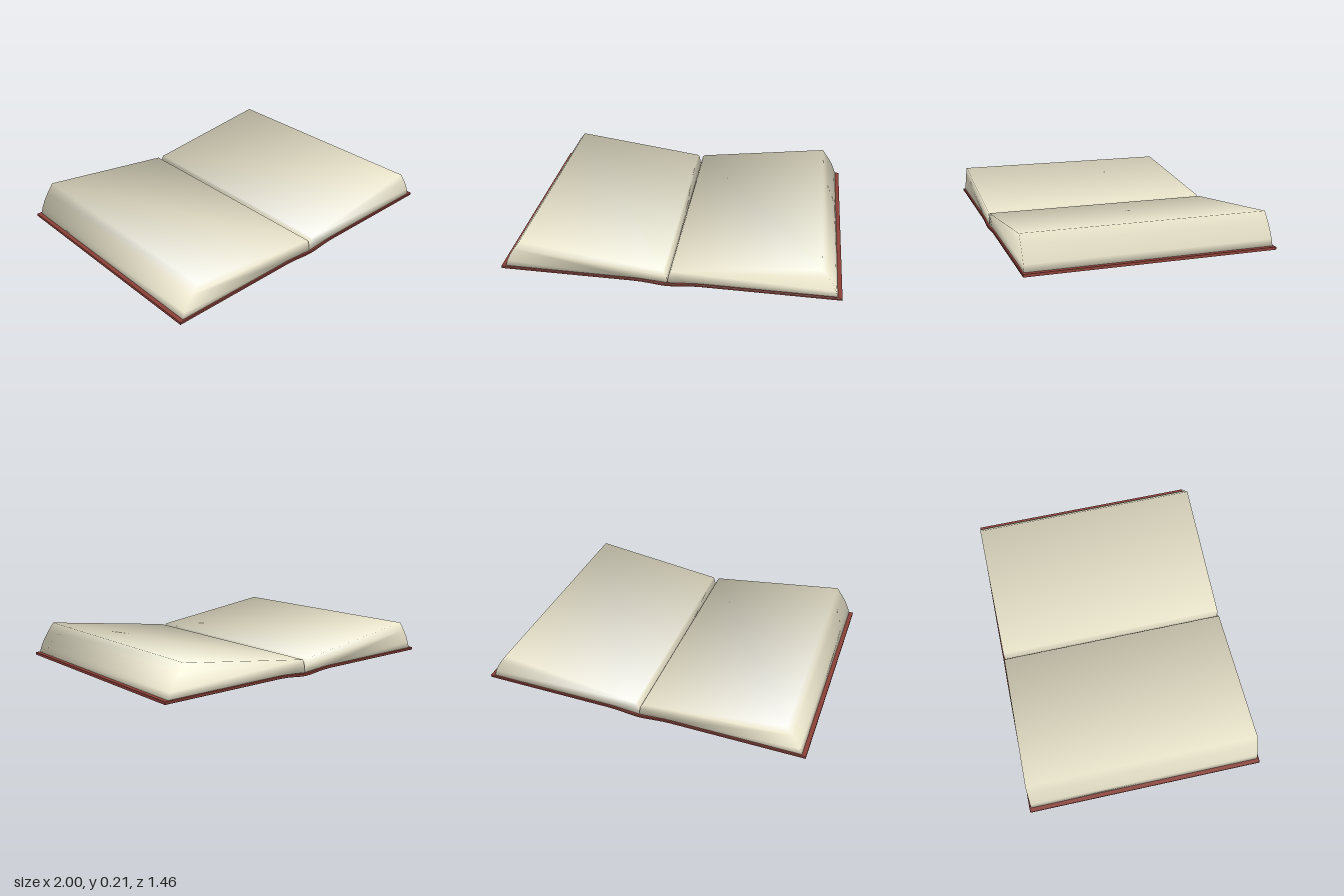
import * as THREE from 'three';
import { mergeVertices } from 'three/addons/utils/BufferGeometryUtils.js';

const paper = new THREE.MeshStandardMaterial({ color: 0xf2ecd2 });
const leather = new THREE.MeshStandardMaterial({ color: 0x8c4038 });

// Extrude an x/y outline along z, centred on z = 0
function prism(points, depth, bevel = 0) {
  const shape = new THREE.Shape(points.map(([x, y]) => new THREE.Vector2(x, y)));
  const geometry = new THREE.ExtrudeGeometry(shape, {
    depth: depth - 2 * bevel,
    bevelEnabled: bevel > 0,
    bevelSize: bevel,
    bevelThickness: bevel,
    bevelOffset: -bevel,
    bevelSegments: 1,
  });
  return geometry.translate(0, 0, bevel - depth / 2);
}

// Share vertices and weight normals by corner angle, for soft shading over every edge
function soften(geometry) {
  geometry.deleteAttribute('normal');
  geometry.deleteAttribute('uv');
  const merged = mergeVertices(geometry, 1e-4);
  const position = merged.attributes.position;
  const index = merged.index;
  const normals = Array.from({ length: position.count }, () => new THREE.Vector3());
  for (let i = 0; i < index.count; i += 3) {
    const ids = [0, 1, 2].map((k) => index.getX(i + k));
    const p = ids.map((id) => new THREE.Vector3().fromBufferAttribute(position, id));
    const face = new THREE.Triangle(...p).getNormal(new THREE.Vector3());
    ids.forEach((id, k) => {
      const a = p[(k + 1) % 3].clone().sub(p[k]);
      const b = p[(k + 2) % 3].clone().sub(p[k]);
      normals[id].addScaledVector(face, a.angleTo(b));
    });
  }
  const flat = normals.flatMap((n) => n.normalize().toArray());
  merged.setAttribute('normal', new THREE.Float32BufferAttribute(flat, 3));
  return merged;
}

export function createModel() {
  const book = new THREE.Group();
  book.name = 'openBook';

  // Cover: a thin sheet that dips under the spine
  const half = [[0, 0], [0.04, 0.002], [0.1, 0.009], [0.15, 0.014], [0.2, 0.016], [1, 0.016]];
  const underside = [...half.slice(1).reverse().map(([x, y]) => [-x, y]), ...half];
  const topside = underside.map(([x, y]) => [x, y + 0.016]).reverse();
  const cover = new THREE.Mesh(prism([...underside, ...topside], 1.46, 0.003), leather);
  cover.name = 'cover';
  book.add(cover);

  // Page blocks: fanned fore edge, sloping top, rounded into the gutter
  const pageProfile = [
    [0.001, 0.018], [0.1, 0.026], [0.2, 0.031], [0.975, 0.031],
    [0.962, 0.07], [0.942, 0.112], [0.913, 0.158], [0.873, 0.212],
    [0.021, 0.1], [0.012, 0.085], [0.005, 0.06],
  ];
  for (const [side, name] of [[1, 'leftPages'], [-1, 'rightPages']]) {
    const outline = pageProfile.map(([x, y]) => [x * side, y]);
    const pages = new THREE.Mesh(soften(prism(outline, 1.436)), paper);
    pages.name = name;
    book.add(pages);
  }

  return book;
}
